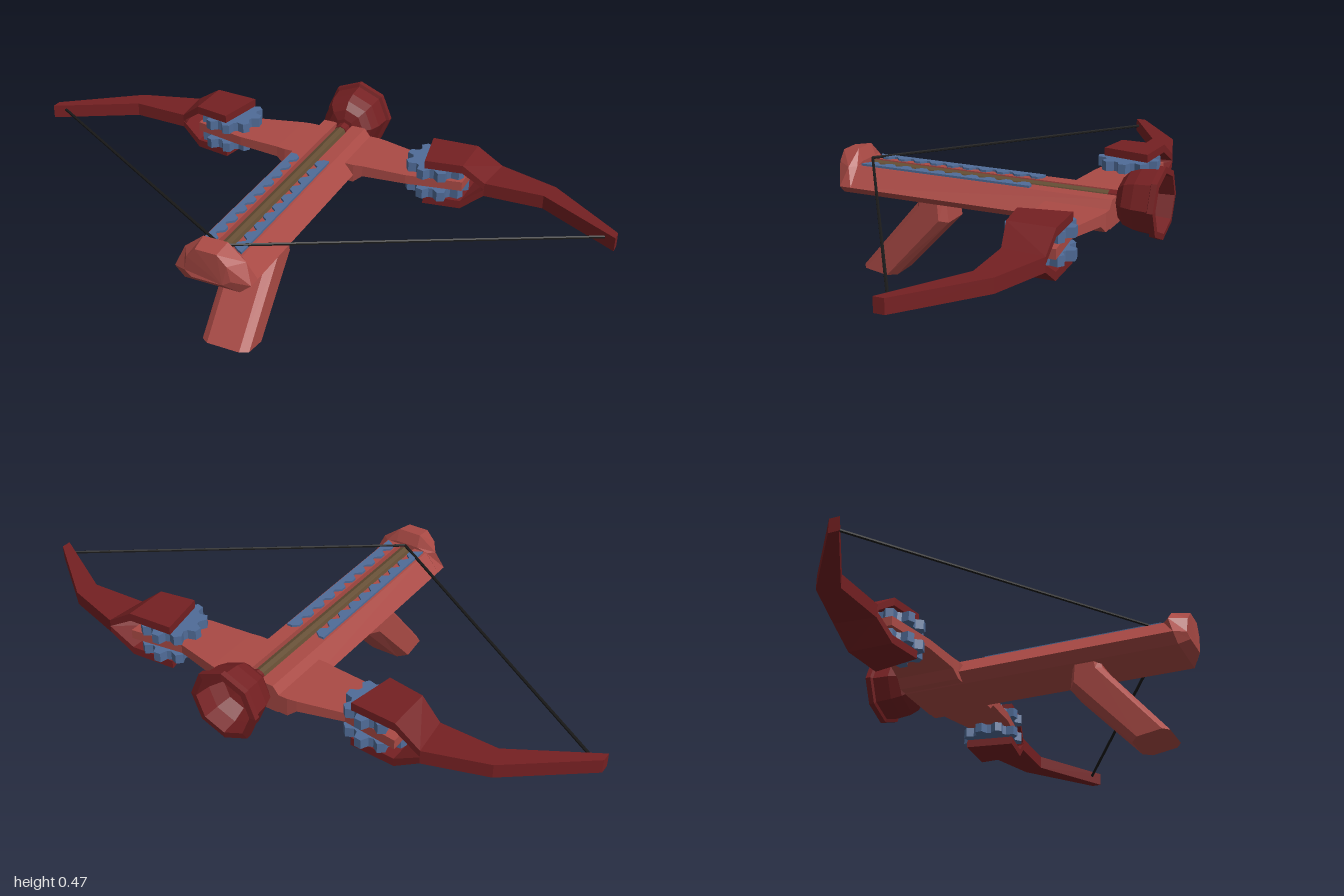
import * as THREE from 'three';

const mat = (name, color) => {
  const m = new THREE.MeshStandardMaterial({ color, flatShading: true });
  m.name = name;
  return m;
};

// Solid skin over rings of [x, y, z] points with flat end caps, always wound outward
function loft(rings) {
  const n = rings[0].length, pos = rings.flat(2), idx = [];
  for (let r = 0; r < rings.length - 1; r++)
    for (let i = 0; i < n; i++) {
      const a = r * n + i, b = r * n + (i + 1) % n;
      idx.push(a, b, b + n, a, b + n, a + n);
    }
  const e = (rings.length - 1) * n;
  for (let i = 1; i < n - 1; i++) idx.push(0, i + 1, i, e, e + i, e + i + 1);
  const v = i => new THREE.Vector3().fromArray(pos, i * 3);
  let volume = 0;
  for (let i = 0; i < idx.length; i += 3)
    volume += v(idx[i]).dot(v(idx[i + 1]).cross(v(idx[i + 2])));
  if (volume < 0) idx.reverse();
  const g = new THREE.BufferGeometry();
  g.setAttribute('position', new THREE.Float32BufferAttribute(pos, 3));
  g.setIndex(idx);
  const flat = g.toNonIndexed();
  flat.computeVertexNormals();
  return flat;
}

// Flat outline in x/z turned into a plate between y0 and y0 + h
function plate(points, y0, h) {
  const shape = new THREE.Shape(points.map(([x, z]) => new THREE.Vector2(x, -z)));
  const g = new THREE.ExtrudeGeometry(shape, { depth: h, bevelEnabled: false });
  return g.rotateX(-Math.PI / 2).translate(0, y0, 0);
}

// Rectangular limb section between a back and a front point
const section = ([xb, zb, xf, zf, lo, hi], s) =>
  [[s * xb, lo, zb], [s * xf, lo, zf], [s * xf, hi, zf], [s * xb, hi, zb]];

export function createModel() {
  const root = new THREE.Group();
  root.name = 'crossbow';
  const red = mat('stockRed', 0xaa4a45), dark = mat('limbDarkRed', 0x752022);
  const blue = mat('gearBlue', 0x506c98), brown = mat('shaftBrown', 0x644d33);
  const black = mat('stringBlack', 0x1a1a1a);
  const add = (name, geo, m) => {
    const mesh = new THREE.Mesh(geo, m);
    mesh.name = name;
    root.add(mesh);
    return mesh;
  };

  // Stock with a groove along its top
  const half = [[0.09, 0.28], [0.125, 0.308], [0.075, 0.37], [0.028, 0.37], [0.028, 0.335]];
  const outline = [...half, ...half.map(([x, y]) => [-x, y]).reverse()];
  const stockShape = new THREE.Shape(outline.map(p => new THREE.Vector2(...p)));
  add('stock', new THREE.ExtrudeGeometry(stockShape, { depth: 0.89, bevelEnabled: false })
    .translate(0, 0, -0.41), red);

  // Raised, tapered butt
  const buttRing = (bottom, side, shoulder, top) => {
    const pts = [bottom, side, shoulder, top];
    return [...pts, ...pts.map(([x, y, z]) => [-x, y, z]).reverse()];
  };
  add('butt', loft([
    buttRing([0.09, 0.28, 0.475], [0.125, 0.308, 0.475], [0.078, 0.368, 0.475], [0.04, 0.378, 0.475]),
    buttRing([0.09, 0.28, 0.52], [0.125, 0.308, 0.515], [0.1, 0.37, 0.495], [0.04, 0.418, 0.49]),
    buttRing([0.05, 0.31, 0.55], [0.075, 0.325, 0.545], [0.065, 0.375, 0.548], [0.035, 0.408, 0.55]),
  ]), red);

  // Slanted grip, each ring running from the rear edge to the forward edge
  const gripRing = (zr, yr, zf, yf) => {
    const at = (x, t) => [x, yr + (yf - yr) * t, zr + (zf - zr) * t];
    return [at(-0.055, 0), at(-0.08, 0.15), at(-0.08, 0.8), at(-0.05, 1),
      at(0.05, 1), at(0.08, 0.8), at(0.08, 0.15), at(0.055, 0)];
  };
  add('grip', loft([
    gripRing(0.255, 0.3, 0.165, 0.3),
    gripRing(0.265, 0.265, 0.155, 0.21),
    gripRing(0.472, 0.02, 0.35, 0),
  ]), red);

  // Plunger bolt: shaft, neck and hollow cup
  const alongZ = (g, z) => g.rotateX(Math.PI / 2).translate(0, 0.355, z);
  add('boltShaft', alongZ(new THREE.CylinderGeometry(0.02, 0.02, 0.86, 8), 0.03), brown);
  add('boltNeck', alongZ(new THREE.CylinderGeometry(0.023, 0.023, 0.05, 8), -0.4), dark);
  const profile = [[0, 0.405], [0.035, 0.407], [0.065, 0.418], [0.088, 0.44], [0.1, 0.475],
    [0.105, 0.528], [0.116, 0.532], [0.116, 0.55], [0.096, 0.552], [0.09, 0.5], [0.07, 0.455], [0, 0.43]];
  const cup = new THREE.LatheGeometry(profile.map(p => new THREE.Vector2(...p)), 8);
  const cupMesh = add('plungerCup', cup.rotateX(-Math.PI / 2).translate(0, 0.355, 0), dark);
  cupMesh.geometry.computeVertexNormals();

  for (const s of [-1, 1]) {
    const side = s > 0 ? 'left' : 'right';

    // Crossbeam arm
    const beam = [[0, -0.41, 0, -0.2, 0.283, 0.345], [0.125, -0.41, 0.125, -0.2, 0.283, 0.345],
      [0.155, -0.405, 0.155, -0.205, 0.308, 0.345], [0.3, -0.37, 0.3, -0.215, 0.312, 0.343],
      [0.48, -0.395, 0.48, -0.25, 0.312, 0.343]];
    add(side + 'CrossbeamArm', loft(beam.map(p => section(p, s))), red);

    // Forked limb: two prongs merging into a swept bar
    const fork = [[0.33, -0.385, 0.36, -0.225], [0.48, -0.395, 0.48, -0.245], [0.565, -0.4, 0.55, -0.262]];
    const upper = [[0.378, 0.405], [0.378, 0.405], [0.328, 0.35]];
    add(side + 'UpperProng', loft(fork.map((p, i) => section([...p, ...upper[i]], s))), dark);
    add(side + 'LowerProng', loft(fork.map((p, i) =>
      section([...p, 0.655 - upper[i][1], 0.655 - upper[i][0]], s))), dark);
    const bar = [[0.565, -0.4, 0.54, -0.262], [0.76, -0.34, 0.74, -0.27], [1, -0.155, 1, -0.122]];
    add(side + 'LimbBar', loft(bar.map(p => section([...p, 0.305, 0.35], s))), dark);

    // Toothed gears above and below the beam, on one axle
    const teeth = [];
    for (let i = 0; i < 9; i++)
      for (const [t, r] of [[0, 0.082], [0.22, 0.104], [0.55, 0.104], [0.75, 0.082]]) {
        const a = (i + t) / 9 * Math.PI * 2;
        teeth.push([s * (0.378 + r * Math.cos(a)), -0.308 - r * Math.sin(a)]);
      }
    add(side + 'UpperGear', plate(teeth, 0.346, 0.032), blue);
    add(side + 'LowerGear', plate(teeth, 0.277, 0.032), blue);
    add(side + 'GearAxle', new THREE.CylinderGeometry(0.04, 0.04, 0.13, 8)
      .translate(s * 0.4, 0.3275, -0.308), blue);

    // Toothed rack beside the groove
    const rack = [[s * 0.068, 0.465], [s * 0.068, -0.135]];
    rack.reverse();
    const edge = [];
    for (let i = 0; i < 10; i++) {
      const z = -0.135 + i * 0.06;
      edge.push([s * 0.05, z], [s * 0.032, z + 0.015], [s * 0.032, z + 0.035], [s * 0.05, z + 0.05]);
    }
    add(side + 'Rack', plate([...rack, ...edge.reverse()], 0.366, 0.011), blue);

    // Bowstring half
    const a = new THREE.Vector3(s * 0.965, 0.333, -0.145), b = new THREE.Vector3(0, 0.38, 0.462);
    add(side + 'Bowstring', new THREE.TubeGeometry(new THREE.LineCurve3(a, b), 1, 0.005, 6), black);
  }
  return root;
}
